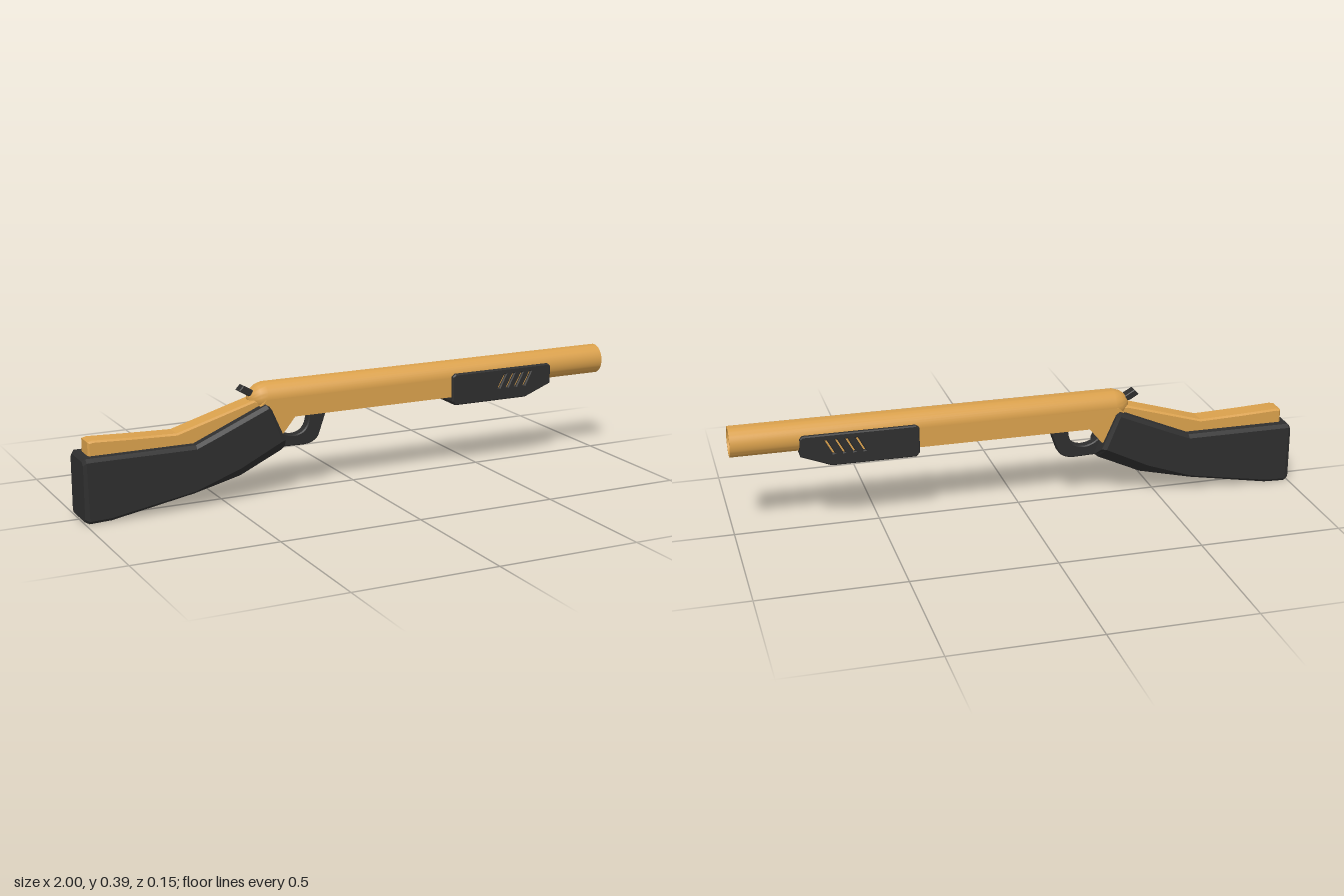
import * as THREE from 'three';
import { toCreasedNormals } from 'three/addons/utils/BufferGeometryUtils.js';

const gold = new THREE.MeshStandardMaterial({ color: 0xd9a04c });
const dark = new THREE.MeshStandardMaterial({ color: 0x2e2e2e });

function add(parent, name, geometry, material, crease = 0.5) {
  const mesh = new THREE.Mesh(toCreasedNormals(geometry, crease), material);
  mesh.name = name;
  parent.add(mesh);
  return mesh;
}

const outline = (pts) => new THREE.Shape(pts.map(([x, y]) => new THREE.Vector2(x, y)));

// Side profile extruded between two z values, bevelled inside its outline
function slab(shape, z0, z1, bevel = 0) {
  const geometry = new THREE.ExtrudeGeometry(shape, {
    depth: z1 - z0 - 2 * bevel, bevelEnabled: bevel > 0, bevelSize: bevel,
    bevelThickness: bevel, bevelOffset: -bevel, bevelSegments: 1, curveSegments: 10,
  });
  return geometry.translate(0, 0, z0 + bevel);
}

// Skin over cross-sections running toward +x, each ordered top, +z, bottom, -z
function loft(rings) {
  const n = rings[0].length;
  const index = [];
  for (let i = 0; i < rings.length - 1; i++) {
    for (let j = 0; j < n; j++) {
      const a = i * n + j, b = i * n + (j + 1) % n;
      index.push(a, b, a + n, b, b + n, a + n);
    }
  }
  const last = (rings.length - 1) * n;
  for (let j = 1; j < n - 1; j++) {
    index.push(0, j + 1, j, last, last + j, last + j + 1);
  }
  const geometry = new THREE.BufferGeometry();
  geometry.setAttribute('position', new THREE.Float32BufferAttribute(rings.flat(2), 3));
  geometry.setIndex(index);
  geometry.computeVertexNormals();
  return geometry;
}

// Stock section from a top point to a bottom point with chamfered corners
function stockRing([xt, yt, xb, yb, w, chamfer, bottomW]) {
  const h = Math.hypot(xt - xb, yt - yb);
  const half = [[0, w - 0.012], [0.012 / h, w], [1 - chamfer / h, w], [1, bottomW]]
    .map(([t, z]) => [xt + (xb - xt) * t, yt + (yb - yt) * t, z]);
  return [...half, ...half.map(([x, y, z]) => [x, y, -z]).reverse()];
}

export function createModel() {
  const model = new THREE.Group();
  model.name = 'longGun';

  // Hollow barrel with a rounded rear end
  const profile = [
    [0, -0.4], [0.018, -0.396], [0.034, -0.383], [0.046, -0.366], [0.053, -0.342],
    [0.053, 1], [0.045, 1], [0.045, 0.6], [0, 0.6],
  ].map(([r, x]) => new THREE.Vector2(r, x));
  const barrel = new THREE.LatheGeometry(profile, 40).rotateZ(-Math.PI / 2).translate(0, 0.344, 0);
  add(model, 'barrel', barrel, gold, 0.6);

  // Flat-sided receiver below the barrel
  add(model, 'receiver', slab(outline([
    [-0.35, 0.344], [-0.385, 0.31], [-0.36, 0.22], [-0.29, 0.22], [-0.245, 0.275],
    [0.4, 0.275], [0.4, 0.344],
  ]), -0.053, 0.053), gold);

  // Stock: top x, y; bottom x, y; half width; lower chamfer; bottom half width
  add(model, 'stock', loft([
    [-1, 0.212, -1, 0.01, 0.067, 0.01, 0.06],
    [-0.99, 0.222, -0.985, 0.003, 0.075, 0.01, 0.067],
    [-0.97, 0.222, -0.91, 0.006, 0.075, 0.01, 0.067],
    [-0.61, 0.222, -0.62, 0.058, 0.075, 0.008, 0.067],
    [-0.52, 0.26, -0.44, 0.087, 0.075, 0.04, 0.03],
    [-0.355, 0.33, -0.285, 0.158, 0.075, 0.045, 0.027],
    [-0.34, 0.32, -0.272, 0.168, 0.065, 0.035, 0.024],
  ].map(stockRing)), dark, 0.15);

  // Raised comb along the top of the stock
  add(model, 'comb', slab(outline([
    [-0.972, 0.19], [-0.972, 0.268], [-0.955, 0.272], [-0.82, 0.266], [-0.665, 0.261],
    [-0.39, 0.342], [-0.35, 0.342], [-0.35, 0.27], [-0.6, 0.19],
  ]), -0.037, 0.037, 0.006), gold, 0.3);

  // Guard loop under the receiver
  const guard = outline([[-0.3, 0.175], [-0.27, 0.163]]);
  guard.lineTo(-0.2, 0.161);
  guard.quadraticCurveTo(-0.155, 0.162, -0.14, 0.19);
  guard.lineTo(-0.108, 0.28);
  guard.lineTo(-0.178, 0.28);
  guard.quadraticCurveTo(-0.172, 0.205, -0.23, 0.2);
  guard.quadraticCurveTo(-0.265, 0.2, -0.29, 0.225);
  add(model, 'triggerGuard', slab(guard, -0.018, 0.018, 0.004), dark);

  // Hammer at the rear of the receiver
  const hammer = new THREE.Group();
  hammer.name = 'hammer';
  add(hammer, 'hammerSpur', slab(outline([
    [-0.435, 0.375], [-0.418, 0.393], [-0.378, 0.37], [-0.375, 0.355], [-0.4, 0.355],
  ]), -0.018, 0.018, 0.003), dark);
  add(hammer, 'hammerStem', slab(outline([
    [-0.405, 0.368], [-0.385, 0.375], [-0.35, 0.33], [-0.385, 0.325],
  ]), -0.01, 0.01), dark);
  model.add(hammer);

  // Sliding grip: solid core with slotted side plates
  const grip = new THREE.Group();
  grip.name = 'slidingGrip';
  const gripPoints = [
    [0.363, 0.26], [0.375, 0.246], [0.665, 0.246], [0.77, 0.287],
    [0.77, 0.35], [0.76, 0.359], [0.375, 0.359], [0.363, 0.35],
  ];
  add(grip, 'gripCore', slab(outline(gripPoints), -0.052, 0.052), dark);
  const slotted = outline(gripPoints);
  for (let i = 0; i < 4; i++) {
    const x = 0.549 + i * 0.035;
    slotted.holes.push(new THREE.Path([
      [x, 0.29], [x + 0.026, 0.338], [x + 0.033, 0.338], [x + 0.007, 0.29],
    ].map(([px, py]) => new THREE.Vector2(px, py))));
  }
  for (const side of [1, -1]) {
    const name = side > 0 ? 'leftGripPlate' : 'rightGripPlate';
    const z = side > 0 ? [0.044, 0.064] : [-0.064, -0.044];
    add(grip, name, slab(slotted, z[0], z[1], 0.004), dark, 0.3);
    // Bright strip at the bottom of the slots
    const strip = add(grip, 'slotFloor', new THREE.BoxGeometry(0.17, 0.065, 0.006), gold);
    strip.position.set(0.62, 0.314, side * 0.052);
  }
  model.add(grip);

  return model;
}
